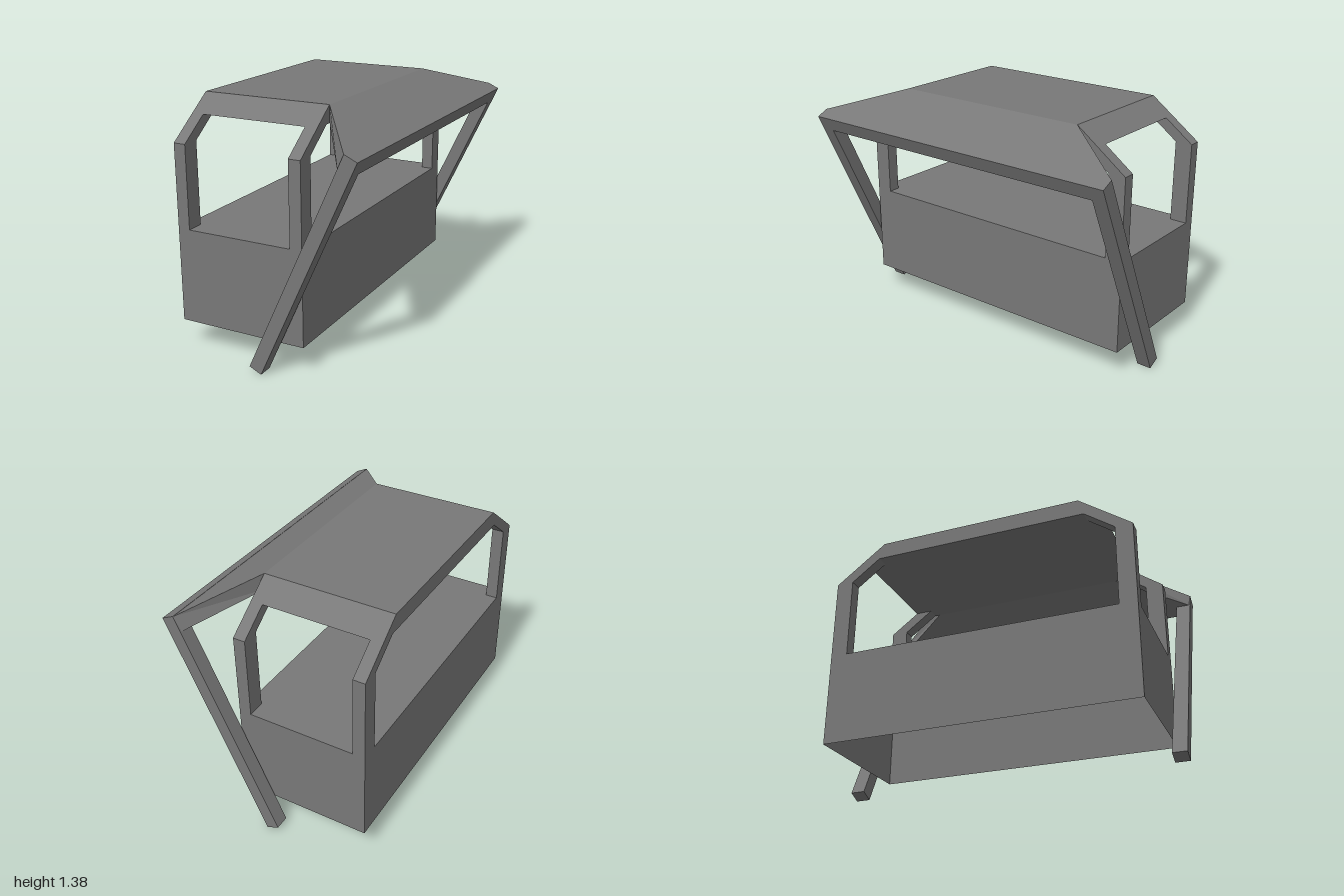
import * as THREE from 'three';

const grey = new THREE.MeshStandardMaterial({ color: 0x787878, side: THREE.DoubleSide, flatShading: true });
grey.name = 'plain grey';

// Main dimensions
const X0 = -0.56, X1 = 0.2, PX = 0.07;       // body sides, post width
const Z = 0.9, PZ = 0.1;                     // body half length, post depth
const BASE = 0.155, SILL = 0.69, BEND = 1.16, UNDER = 1.285, TOP = 1.38;
const ZU = 0.73, ZT = 0.6;                   // half lengths of roof underside and top

// Horizontal rectangle, counter-clockwise from above
function rect(x0, x1, za, zb, y) {
  const z0 = Math.min(za, zb), z1 = Math.max(za, zb);
  return [[x0, y, z1], [x1, y, z1], [x1, y, z0], [x0, y, z0]];
}

// Skin through four-cornered sections, with optional end caps
function loft(name, sections, capStart, capEnd) {
  const pos = [];
  const quad = (a, b, c, d) => [a, b, c, a, c, d].forEach((p) => pos.push(...p));
  for (let s = 0; s < sections.length - 1; s++) {
    const a = sections[s], b = sections[s + 1];
    for (let i = 0; i < 4; i++) {
      const j = (i + 1) % 4;
      quad(a[i], a[j], b[j], b[i]);
    }
  }
  const first = sections[0], last = sections[sections.length - 1];
  if (capStart) quad(first[3], first[2], first[1], first[0]);
  if (capEnd) quad(...last);
  const geo = new THREE.BufferGeometry();
  geo.setAttribute('position', new THREE.Float32BufferAttribute(pos, 3));
  geo.computeVertexNormals();
  const mesh = new THREE.Mesh(geo, grey);
  mesh.name = name;
  return mesh;
}

export function createModel() {
  const model = new THREE.Group();
  model.name = 'shelter';

  // Lower walls, open underneath
  model.add(loft('lowerWalls', [rect(X0, X1, -Z, Z, BASE), rect(X0, X1, -Z, Z, SILL)]));

  // Floor at sill height, notched at the four hollow posts
  const xa = X0 + PX, xb = X1 - PX, zi = Z - PZ;
  const outline = [
    [xa, -Z], [xb, -Z], [xb, -zi], [X1, -zi], [X1, zi], [xb, zi],
    [xb, Z], [xa, Z], [xa, zi], [X0, zi], [X0, -zi], [xa, -zi],
  ].map(([x, y]) => new THREE.Vector2(x, y));
  const floorGeo = new THREE.ShapeGeometry(new THREE.Shape(outline));
  floorGeo.rotateX(-Math.PI / 2);
  floorGeo.translate(0, SILL, 0);
  const floor = new THREE.Mesh(floorGeo, grey);
  floor.name = 'floor';
  model.add(floor);

  // Corner posts, leaning inward above the bend
  for (const [x0, x1] of [[X0, xa], [xb, X1]]) {
    for (const s of [-1, 1]) {
      model.add(loft('cornerPost', [
        rect(x0, x1, s * zi, s * Z, SILL),
        rect(x0, x1, s * zi, s * Z, BEND),
        rect(x0, x1, s * (ZU - PZ), s * ZU, UNDER),
      ]));
    }
  }

  // Roof slab with sloping ends
  model.add(loft('roof', [rect(X0, X1, -ZU, ZU, UNDER), rect(X0, X1, -ZT, ZT, TOP)], true, true));

  // Flared awning
  const section = (xl, yl, xt, yt, z) => [[xl, yl, z], [xl, yl, -z], [xt, yt, -z], [xt, yt, z]];
  model.add(loft('awning', [
    section(X1, UNDER, X1, TOP, ZT),
    section(0.457, 1.165, 0.49, 1.25, 1),
  ], false, true));

  // Leaning prop frame: two legs and a top bar in one bent outline
  const L = 1.342, leg = 0.083, bar = 0.088, thick = 0.077;
  const frame = new THREE.Shape([
    [-1, 0], [-1 + leg, 0], [-1 + leg, L - bar], [1 - leg, L - bar],
    [1 - leg, 0], [1, 0], [1, L], [-1, L],
  ].map(([x, y]) => new THREE.Vector2(x, y)));
  const frameGeo = new THREE.ExtrudeGeometry(frame, { depth: thick, bevelEnabled: false });
  frameGeo.rotateY(-Math.PI / 2);
  const prop = new THREE.Mesh(frameGeo, grey);
  prop.name = 'propFrame';
  prop.rotation.z = -Math.atan2(0.56, 1.22);
  model.add(prop);

  return model;
}
